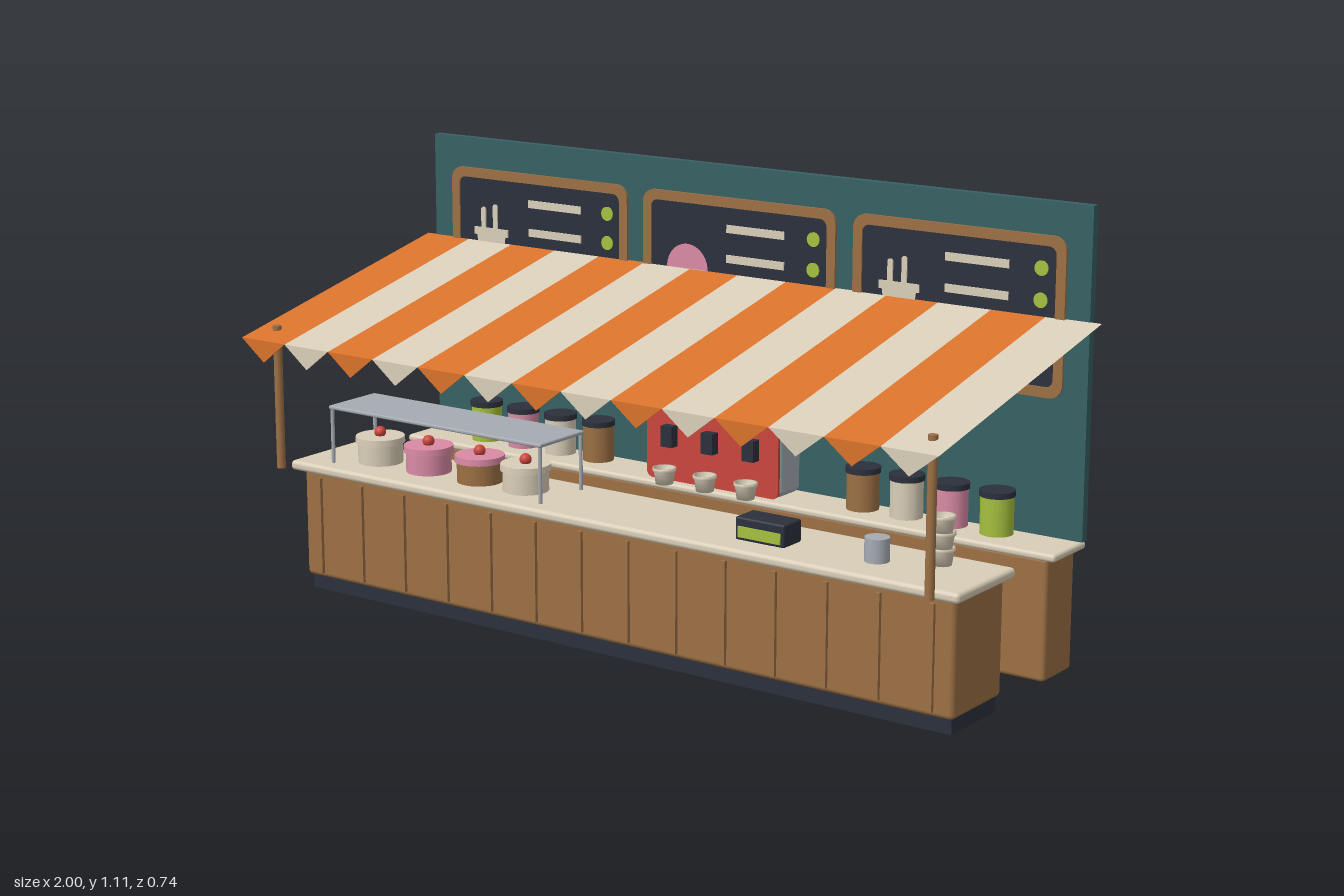
import * as THREE from 'three';
import { RoundedBoxGeometry } from 'three/addons/geometries/RoundedBoxGeometry.js';

const mat = (name, color, side = THREE.FrontSide) => {
  const m = new THREE.MeshStandardMaterial({ color, side });
  m.name = name;
  return m;
};

export function createModel() {
  const root = new THREE.Group();
  root.name = 'foodStall';
  const teal = mat('teal', 0x376064);
  const orange = mat('orange', 0xd9722b, THREE.DoubleSide);
  const cream = mat('cream', 0xd9ceb8, THREE.DoubleSide);
  const wood = mat('wood', 0x9c7044);
  const dark = mat('charcoal', 0x2b303c);
  const red = mat('red', 0xcb463c);
  const green = mat('lime', 0xa5c03f);
  const pink = mat('pink', 0xd98aa4);
  const metal = mat('metal', 0xa6abb3);

  const add = (name, geo, material, x = 0, y = 0, z = 0, parent = root) => {
    const m = new THREE.Mesh(geo, material);
    m.name = name;
    m.position.set(x, y, z);
    parent.add(m);
    return m;
  };
  // Boxes given by their limits on each axis
  const box = (name, material, [x0, x1], [y0, y1], [z0, z1], r = 0, parent = root) => {
    const s = [x1 - x0, y1 - y0, z1 - z0];
    const g = r ? new RoundedBoxGeometry(...s, 2, r) : new THREE.BoxGeometry(...s);
    return add(name, g, material, (x0 + x1) / 2, (y0 + y1) / 2, (z0 + z1) / 2, parent);
  };
  // Upright cylinder standing on y
  const cyl = (name, material, rTop, rBottom, h, x, y, z, sides = 24, parent = root) =>
    add(name, new THREE.CylinderGeometry(rTop, rBottom, h, sides), material, x, y + h / 2, z, parent);
  const group = (name, x = 0, y = 0, z = 0, parent = root) => {
    const g = new THREE.Group();
    g.name = name;
    g.position.set(x, y, z);
    parent.add(g);
    return g;
  };

  // Front counter with kick base and vertical battens
  box('counterBase', dark, [-0.945, 0.945], [0, 0.045], [0, 0.192]);
  box('counterBody', wood, [-0.955, 0.955], [0.037, 0.318], [-0.01, 0.206], 0.012);
  box('counterTop', cream, [-0.978, 0.978], [0.315, 0.34], [-0.022, 0.233], 0.01);
  for (let i = 0; i < 14; i++) {
    const x = -0.9 + i * 1.8 / 13;
    box('counterBatten', wood, [x - 0.006, x + 0.006], [0.05, 0.3], [0.2, 0.215]);
  }

  // Back counter and wall
  box('backCounterBody', wood, [-0.945, 0.945], [0.004, 0.303], [-0.36, -0.227], 0.01);
  box('backCounterTop', cream, [-0.97, 0.97], [0.3, 0.319], [-0.367, -0.213], 0.008);
  box('backWall', teal, [-0.97, 0.97], [0.319, 1.108], [-0.368, -0.346]);

  // Menu boards
  const roundRect = (w, h, r, Kind = THREE.Shape) => {
    const s = new Kind(), a = w / 2, b = h / 2;
    s.absarc(a - r, b - r, r, 0, Math.PI / 2);
    s.absarc(-a + r, b - r, r, Math.PI / 2, Math.PI);
    s.absarc(-a + r, -b + r, r, Math.PI, Math.PI * 1.5);
    s.absarc(a - r, -b + r, r, Math.PI * 1.5, Math.PI * 2);
    s.closePath();
    return s;
  };
  const plate = (shape, depth) =>
    new THREE.ExtrudeGeometry(shape, { depth, bevelEnabled: false, curveSegments: 8 });
  const frameShape = roundRect(0.572, 0.38, 0.035);
  frameShape.holes.push(roundRect(0.522, 0.33, 0.02, THREE.Path));
  [-0.622, 0, 0.622].forEach((x, i) => {
    const b = group('menuBoard', x, 0.84, -0.346);
    add('boardFrame', plate(frameShape, 0.007), wood, 0, 0, 0, b);
    add('boardFace', plate(roundRect(0.53, 0.338, 0.02), 0.003), dark, 0, 0, 0, b);
    for (const y of [0.112, 0.037, -0.038]) {
      box('menuLine', cream, [-0.032, 0.138], [y - 0.01, y + 0.01], [0.002, 0.006], 0, b);
      add('menuDot', new THREE.CylinderGeometry(0.018, 0.018, 0.004, 16).rotateX(Math.PI / 2),
        green, 0.222, y, 0.004, b);
    }
    if (i === 1) {
      // Scoop in a cone
      add('scoopPicture', new THREE.CircleGeometry(0.062, 24, 0, Math.PI), pink, -0.15, 0, 0.005, b);
      const cone = new THREE.Shape([[-0.055, 0], [0, -0.11], [0.055, 0]].map(p => new THREE.Vector2(...p)));
      add('conePicture', new THREE.ShapeGeometry(cone), cream, -0.15, 0, 0.005, b);
    } else {
      // Tub with two sticks
      const tub = new THREE.Shape([[-0.048, 0.02], [-0.035, -0.07], [0.035, -0.07], [0.048, 0.02]]
        .map(p => new THREE.Vector2(...p)));
      add('tubPicture', new THREE.ShapeGeometry(tub), cream, -0.157, 0, 0.005, b);
      box('tubRim', cream, [-0.213, -0.101], [0.016, 0.036], [0.002, 0.006], 0, b);
      [[-0.182, 0.09], [-0.143, 0.1]].forEach(([sx, top]) =>
        add('stickPicture', plate(roundRect(0.015, top - 0.03, 0.007), 0.004), cream,
          sx, (top + 0.03) / 2, 0.002, b));
    }
  });

  // Striped awning with pointed valance and posts
  const awning = group('awning');
  const W = 2 / 14;
  const back = [0.84, -0.347], front = [0.68, 0.367];
  const slope = Math.hypot(back[0] - front[0], front[1] - back[1]);
  const tilt = Math.atan2(back[0] - front[0], front[1] - back[1]);
  const point = new THREE.Shape([[-W / 2, 0], [0, -0.055], [W / 2, 0]].map(p => new THREE.Vector2(...p)));
  for (let i = 0; i < 14; i++) {
    const x = -1 + (i + 0.5) * W, m = i % 2 ? cream : orange;
    const strip = add('awningStripe', new THREE.PlaneGeometry(W, slope).rotateX(-Math.PI / 2), m,
      x, (back[0] + front[0]) / 2, (back[1] + front[1]) / 2, awning);
    strip.rotation.x = tilt;
    add('awningPoint', plate(point, 0.003), m, x, 0.68, 0.366, awning);
  }
  for (const s of [-1, 1]) cyl('awningPost', wood, 0.011, 0.011, 0.365, s * 0.945, 0.34, 0.3, 16);

  // Drinks machine
  box('machineBody', metal, [-0.2, 0.195], [0.319, 0.58], [-0.346, -0.243], 0.018);
  add('machineFront', plate(roundRect(0.395, 0.261, 0.018), 0.008), red, -0.0025, 0.4495, -0.247);
  cyl('machineChimney', metal, 0.023, 0.023, 0.075, -0.165, 0.576, -0.307);

  // Tapered cup with a rim
  const cup = (x, y, z, parent) => {
    const profile = [[0, 0], [0.022, 0], [0.027, 0.033], [0.03, 0.033], [0.03, 0.041], [0.026, 0.041],
      [0.021, 0.006], [0, 0.006]].map(p => new THREE.Vector2(...p));
    add('cup', new THREE.LatheGeometry(profile, 20), cream, x, y, z, parent);
  };
  for (const x of [-0.123, 0, 0.122]) {
    box('machineHandle', dark, [x - 0.017, x + 0.017], [0.41, 0.463], [-0.24, -0.213]);
    cup(x, 0.319, -0.207, root);
  }
  const stack = group('cupStack', 0.833, 0.34, 0.057);
  for (let i = 0; i < 3; i++) cup(0, i * 0.037, 0, stack);

  // Lidded jars on the back counter
  [wood, cream, pink, green].forEach((m, i) => {
    for (const s of [-1, 1]) {
      const j = group('jar', s * (0.4 + i * 0.123), 0.319, -0.301);
      cyl('jarBody', m, 0.04, 0.04, 0.092, 0, 0, 0, 24, j);
      cyl('jarLid', dark, 0.043, 0.043, 0.014, 0, 0.092, 0, 24, j);
    }
  });

  // Serving shelf
  box('shelfTop', metal, [-0.88, -0.2], [0.479, 0.489], [0.018, 0.192], 0.004);
  for (const x of [-0.873, -0.207]) for (const z of [0.025, 0.185])
    cyl('shelfLeg', metal, 0.005, 0.005, 0.142, x, 0.34, z, 10);

  // Frosted cakes with cherries
  [[-0.785, cream, cream], [-0.625, pink, pink], [-0.46, wood, pink], [-0.315, cream, cream]]
    .forEach(([x, body, icing]) => {
      const c = group('cake', x, 0.34, 0.105);
      cyl('cakeBody', body, 0.057, 0.057, 0.055, 0, 0, 0, 28, c);
      cyl('cakeIcing', icing, 0.062, 0.063, 0.016, 0, 0.052, 0, 28, c);
      add('cherry', new THREE.SphereGeometry(0.015, 16, 10), red, 0, 0.077, 0, c);
    });

  // Till box and metal mug
  box('tillBox', dark, [0.345, 0.48], [0.34, 0.395], [0.09, 0.163], 0.005);
  box('tillPanel', green, [0.354, 0.471], [0.348, 0.374], [0.16, 0.167]);
  cyl('mug', metal, 0.029, 0.029, 0.056, 0.7, 0.34, 0.118);

  return root;
}
